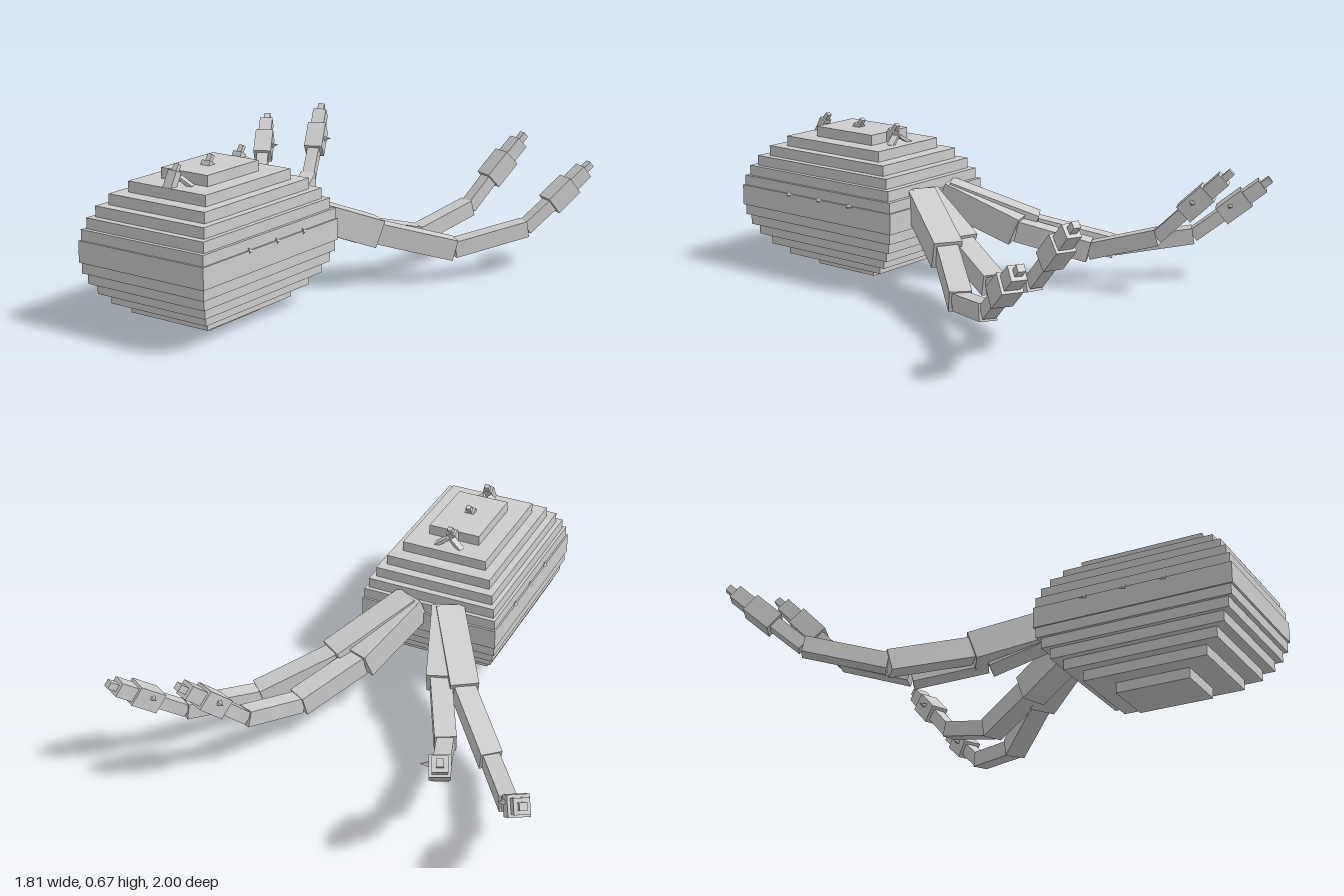
import * as THREE from 'three';

const grey = new THREE.MeshStandardMaterial({ color: 0xcccccc, flatShading: true });
grey.name = 'stone grey';
const V = (p) => new THREE.Vector3(...p);

function add(parent, geometry, name) {
  const mesh = new THREE.Mesh(geometry, grey);
  mesh.name = name;
  parent.add(mesh);
  return mesh;
}

// Square bar running from point a to point b
function bar(parent, a, b, w, h, name) {
  const A = V(a), B = V(b);
  const mesh = add(parent, new THREE.BoxGeometry(w, h, A.distanceTo(B)), name);
  mesh.position.copy(A).add(B).multiplyScalar(0.5);
  mesh.lookAt(B);
  return mesh;
}

// Small four-sided spike pointing along a direction
function spike(parent, base, dir, radius, length, name) {
  const d = V(dir).normalize();
  const mesh = add(parent, new THREE.ConeGeometry(radius, length, 4), name);
  mesh.position.copy(V(base)).addScaledVector(d, length / 2);
  mesh.quaternion.setFromUnitVectors(new THREE.Vector3(0, 1, 0), d);
}

// Jointed arm with a stepped hand; side is +1 for left, -1 for right
function arm(side, name, pts) {
  const g = new THREE.Group();
  g.name = name;
  const p = pts.map(([x, y, z]) => [x * side, y, z]);
  const sizes = [0.12, 0.09, 0.07, 0.055];
  const names = ['shoulder', 'upperArm', 'forearm', 'wrist'];
  sizes.forEach((s, i) => bar(g, p[i], p[i + 1], s, s, names[i]));

  // Hand, knuckles and fingertip along the last direction
  const start = V(p[4]), dir = V(p[5]).sub(start);
  const at = (t) => start.clone().addScaledVector(dir, t).toArray();
  bar(g, at(-0.12), at(0.45), 0.085, 0.085, 'palm');
  bar(g, at(0.4), at(0.82), 0.062, 0.062, 'knuckles');
  bar(g, at(0.8), at(1), 0.03, 0.03, 'fingertip');

  // Thumb claws on the inner and under sides
  const c = at(0.2);
  spike(g, [c[0] - side * 0.035, c[1], c[2] + 0.005], [-side, 0.1, -0.5], 0.018, 0.045, 'innerClaw');
  spike(g, [c[0], c[1] - 0.03, c[2] + 0.025], [-side * 0.2, -0.5, 0.8], 0.018, 0.035, 'underClaw');
  return g;
}

export function createModel() {
  const model = new THREE.Group();
  model.name = 'steppedBodyWithArms';

  // Body: stacked slabs whose sizes follow a circle
  const body = new THREE.Group();
  body.name = 'body';
  const layers = 14, R = 0.3135, step = (2 * R) / layers, cz = 0.56;
  for (let i = 0; i < layers; i++) {
    const y = (i + 0.5) * step;
    const r = Math.sqrt(R * R - (y - R) ** 2);
    add(body, new THREE.BoxGeometry(2 * r, step, 2 * r * 1.39), 'slab').position.set(0, y, cz);
  }
  model.add(body);

  // Two arms on each side
  const outer = [[0.09, 0.375, 0.15], [0.30, 0.235, -0.17], [0.53, 0.14, -0.425],
    [0.72, 0.2, -0.71], [0.795, 0.31, -0.83], [0.885, 0.455, -0.985]];
  const inner = [[0.075, 0.375, 0.15], [0.19, 0.24, -0.16], [0.335, 0.165, -0.435],
    [0.435, 0.25, -0.71], [0.485, 0.38, -0.83], [0.555, 0.545, -0.985]];
  for (const side of [1, -1]) {
    const label = side > 0 ? 'left' : 'right';
    model.add(arm(side, label + 'OuterArm', outer), arm(side, label + 'InnerArm', inner));
    // Small spikes along the flanks
    for (const z of [0.715, 0.54, 0.365])
      spike(model, [side * 0.307, 0.355, z], [side * 0.2, 0, -1], 0.014, 0.03, label + 'FlankSpike');
  }

  // Leaning posts on top; the end ones stand on splayed legs
  for (const z of [0.78, 0.575, 0.375]) {
    const post = new THREE.Group();
    post.name = 'topPost';
    bar(post, [0, 0.57, z + 0.035], [0, 0.638, z - 0.003], 0.042, 0.032, 'postStem');
    bar(post, [0, 0.63, z], [0, 0.662, z - 0.022], 0.022, 0.018, 'postTip');
    if (z !== 0.575)
      for (const s of [1, -1])
        bar(post, [s * 0.01, 0.612, z - 0.02], [s * 0.062, 0.578, z - 0.035], 0.03, 0.014, 'postLeg');
    model.add(post);
  }
  return model;
}
